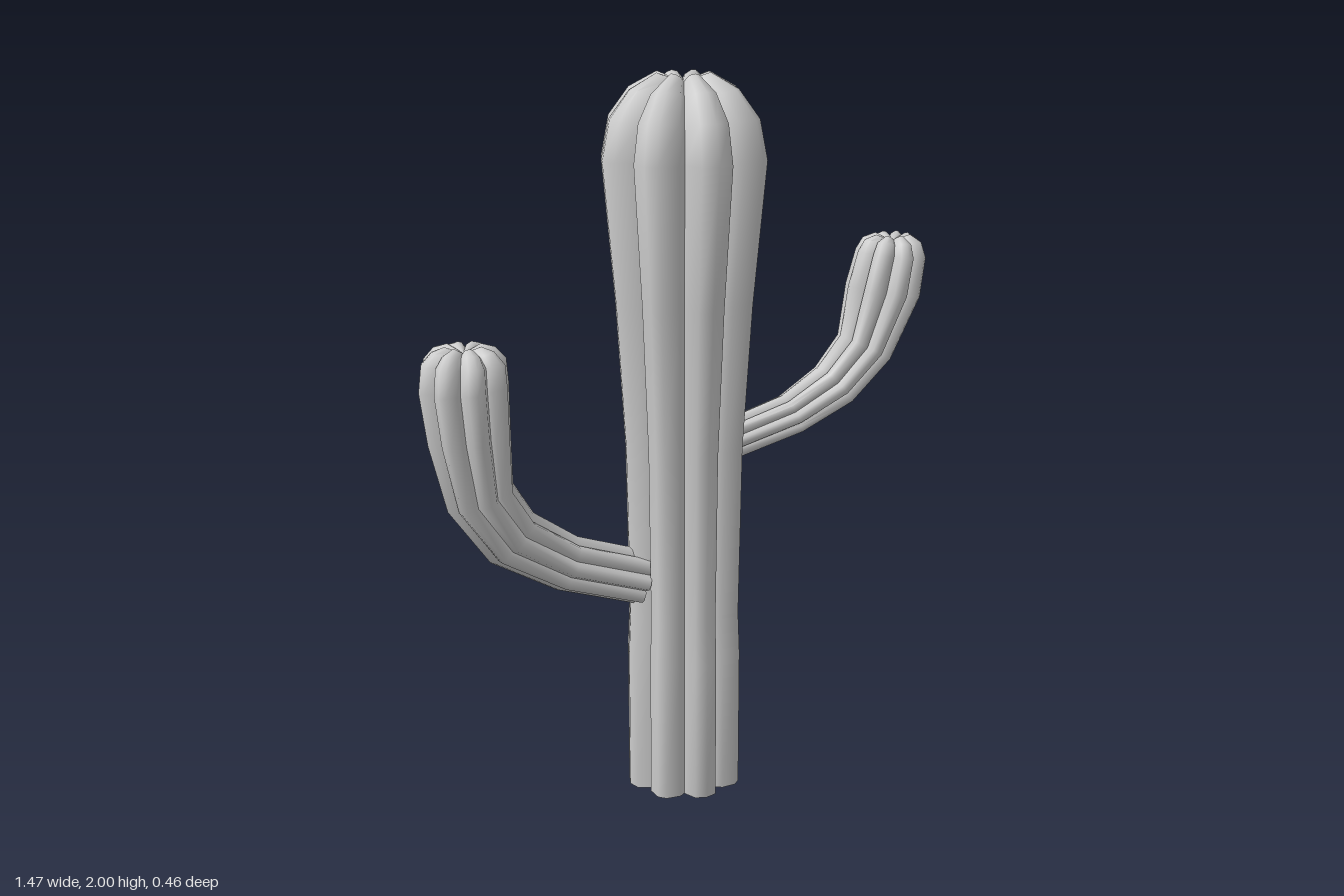
import * as THREE from 'three';
import { toCreasedNormals } from 'three/addons/utils/BufferGeometryUtils.js';

// Eight-lobed ribbed cross-section, unit radius: one quadrant turned four times
const QUADRANT = [[1, 0], [0.94, 0.19], [0.71, 0.295], [0.78, 0.395], [0.76, 0.65]];
const PROFILE = [];
for (let q = 0; q < 4; q++) {
  const half = [...QUADRANT, ...QUADRANT.slice(1).reverse().map(([x, z]) => [z, x])];
  const c = Math.round(Math.cos(q * Math.PI / 2)), s = Math.round(Math.sin(q * Math.PI / 2));
  for (const [x, z] of half) PROFILE.push([c * x - s * z, s * x + c * z]);
}

// Ribbed stem through rings of [x, y, radius, heading in degrees, groove dip]
function stem(name, rings, material) {
  const n = PROFILE.length, pos = [], index = [];
  for (const [x, y, r, deg, dip = 0] of rings) {
    const a = THREE.MathUtils.degToRad(deg), tx = Math.cos(a), ty = Math.sin(a);
    for (const [u, w] of PROFILE) {
      const d = dip * Math.max(0, 1 - Math.hypot(u, w)) / 0.23;
      pos.push(x + ty * u * r - tx * d, y - tx * u * r - ty * d, w * r);
    }
  }
  for (let k = 0; k < rings.length - 1; k++) {
    for (let i = 0; i < n; i++) {
      const a = k * n + i, b = k * n + (i + 1) % n;
      index.push(a, a + n, b);
      if (rings[k + 1][2] > 0) index.push(b, a + n, b + n);
    }
  }
  const geo = new THREE.BufferGeometry();
  geo.setAttribute('position', new THREE.Float32BufferAttribute(pos, 3));
  geo.setIndex(index);
  const mesh = new THREE.Mesh(toCreasedNormals(geo, Math.PI / 3), material);
  mesh.name = name;
  return mesh;
}

export function createModel() {
  const group = new THREE.Group();
  group.name = 'cactus';
  const material = new THREE.MeshStandardMaterial({ color: 0xcccccc, side: THREE.DoubleSide });

  // Trunk: swells upward, rounded crown with a sunken centre, open foot
  group.add(stem('trunk', [
    [0, 0, 0.165, 90], [0, 0.4, 0.165, 90], [0, 0.52, 0.16, 90], [0, 1.0, 0.168, 90],
    [0, 1.4, 0.193, 90], [0, 1.78, 0.228, 90], [0, 1.885, 0.207, 90, 0.005],
    [0, 1.96, 0.15, 90, 0.015], [0, 2.0, 0.075, 90, 0.02], [0, 1.975, 0, 90],
  ], material));

  // Higher arm on the left
  group.add(stem('leftArm', [
    [0.13, 0.99, 0.058, 12], [0.33, 1.045, 0.062, 24], [0.465, 1.117, 0.073, 40],
    [0.56, 1.217, 0.083, 62], [0.615, 1.377, 0.107, 80], [0.637, 1.48, 0.1, 84],
    [0.64, 1.518, 0.083, 87, 0.005], [0.64, 1.535, 0.05, 90, 0.012], [0.64, 1.515, 0, 90],
  ], material));

  // Lower, thicker arm on the right
  group.add(stem('rightArm', [
    [-0.13, 0.628, 0.078, 165], [-0.345, 0.7, 0.079, 157], [-0.5, 0.796, 0.088, 135],
    [-0.583, 0.92, 0.095, 108], [-0.607, 1.09, 0.113, 97], [-0.617, 1.225, 0.121, 93],
    [-0.615, 1.29, 0.114, 90, 0.003], [-0.615, 1.322, 0.085, 90, 0.01],
    [-0.615, 1.333, 0.05, 90, 0.014], [-0.615, 1.312, 0, 90],
  ], material));

  return group;
}
